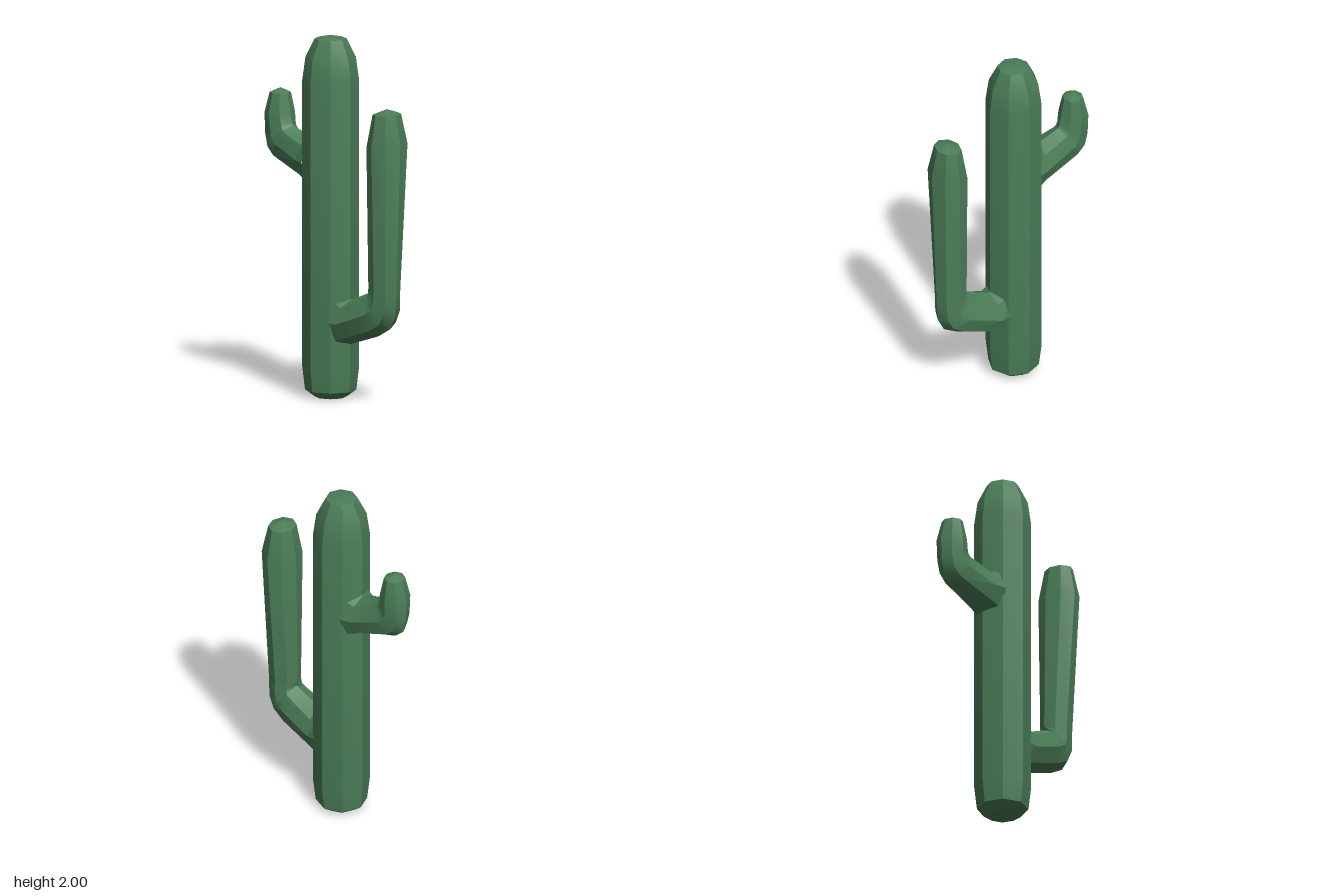
import * as THREE from 'three';
import { toCreasedNormals } from 'three/addons/utils/BufferGeometryUtils.js';

const SIDES = 8;

// Skin over eight-sided rings. Each ring is [outerZ, outerY, innerZ, innerY, halfWidthX];
// side is +1 for a limb heading forward (or up), -1 for one heading back.
function loft(name, rings, side, material) {
  const positions = [];
  const indices = [];
  rings.forEach(([oz, oy, iz, iy, w], r) => {
    for (let j = 0; j < SIDES; j++) {
      const a = (j / SIDES) * Math.PI * 2;
      const c = Math.cos(a) / 2;
      positions.push(
        Math.sin(a) * w * side,
        (oy + iy) / 2 + c * (oy - iy),
        (oz + iz) / 2 + c * (oz - iz)
      );
      if (r === rings.length - 1) continue;
      const k = (j + 1) % SIDES;
      const p = r * SIDES;
      const q = p + SIDES;
      indices.push(p + j, p + k, q + j, p + k, q + k, q + j);
    }
  });
  const geometry = new THREE.BufferGeometry();
  geometry.setAttribute('position', new THREE.Float32BufferAttribute(positions, 3));
  geometry.setIndex(indices);
  const mesh = new THREE.Mesh(toCreasedNormals(geometry, 0.6), material);
  mesh.name = name;
  return mesh;
}

export function createModel() {
  const group = new THREE.Group();
  group.name = 'cactus';
  const green = new THREE.MeshStandardMaterial({ color: 0x4b7d57 });

  // Trunk: [radius, height] profile around its slightly set-back axis
  const axisZ = -0.03;
  const trunkRings = [
    [0, 0], [0.085, 0], [0.14, 0.04], [0.155, 0.17], [0.155, 1.75],
    [0.137, 1.88], [0.087, 1.98], [0, 2],
  ].map(([r, y]) => [axisZ + r, y, axisZ - r, y, r]);
  group.add(loft('trunk', trunkRings, 1, green));

  // Tall front arm, with a flared root, a rounded elbow and a swelling top
  group.add(loft('frontArm', [
    [0.05, 0.27, 0.06, 0.6, 0.12],
    [0.12, 0.308, 0.13, 0.555, 0.115],
    [0.34, 0.38, 0.3, 0.625, 0.1],
    [0.43, 0.43, 0.296, 0.632, 0.09],
    [0.472, 0.51, 0.294, 0.64, 0.085],
    [0.478, 0.62, 0.292, 0.66, 0.08],
    [0.51, 1.46, 0.303, 1.43, 0.12],
    [0.475, 1.62, 0.335, 1.615, 0.085],
    [0.405, 1.645, 0.405, 1.645, 0],
  ], 1, green));

  // Short back arm, higher up the trunk
  group.add(loft('backArm', [
    [-0.13, 1.14, -0.13, 1.45, 0.125],
    [-0.19, 1.18, -0.19, 1.415, 0.11],
    [-0.43, 1.262, -0.32, 1.46, 0.085],
    [-0.485, 1.31, -0.326, 1.466, 0.08],
    [-0.505, 1.39, -0.332, 1.475, 0.08],
    [-0.508, 1.52, -0.342, 1.53, 0.083],
    [-0.477, 1.635, -0.365, 1.635, 0.06],
    [-0.42, 1.66, -0.42, 1.66, 0],
  ], -1, green));

  return group;
}
